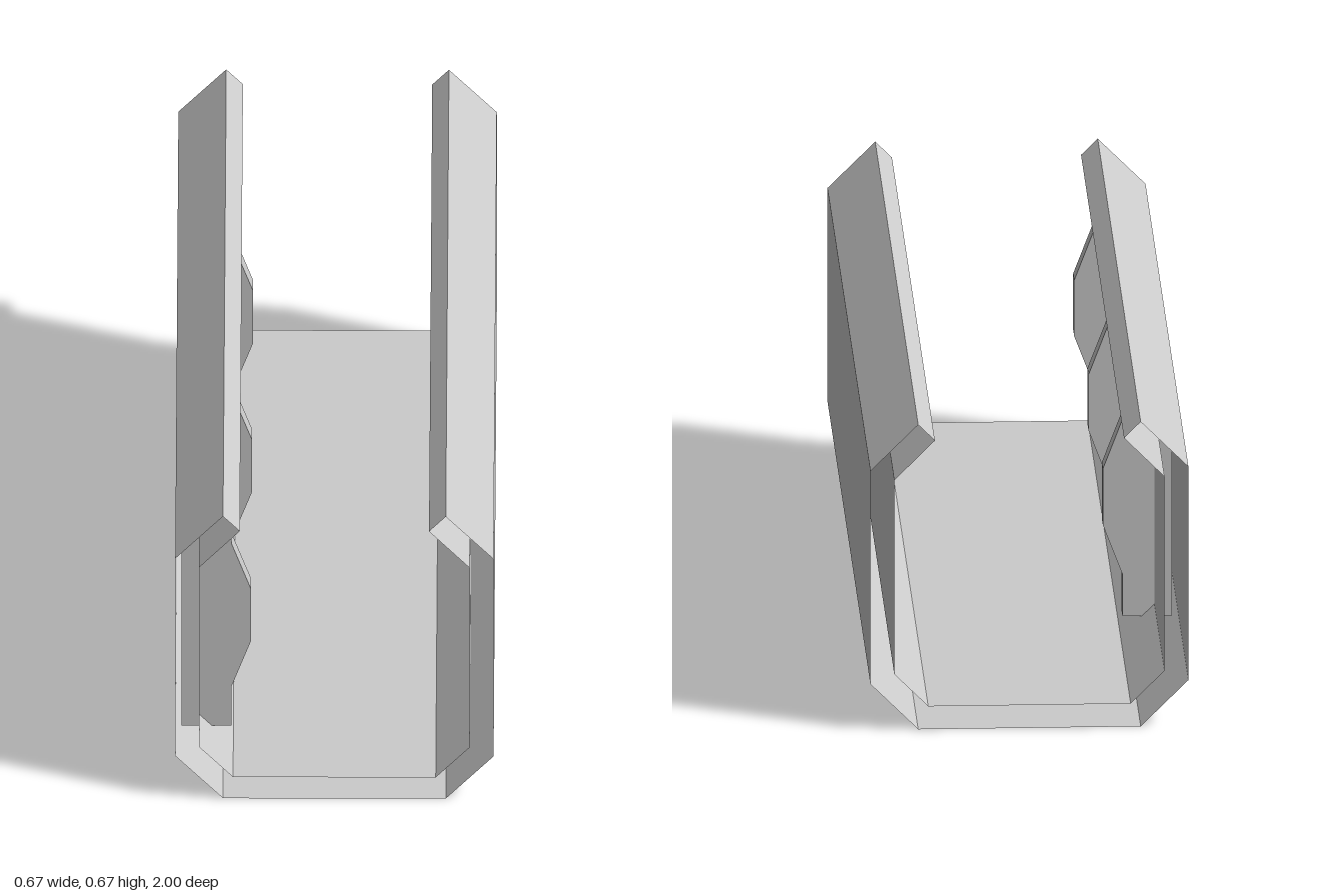
import * as THREE from 'three';

const material = new THREE.MeshStandardMaterial({
  color: 0xcccccc, flatShading: true, side: THREE.DoubleSide,
});

// Right half of the channel section, from the floor up to the lip tip
const outerHalf = [[0.233, 0], [0.333, 0.1], [0.333, 0.567], [0.233, 0.667]];
const innerHalf = [[0.212, 0.05], [0.283, 0.121], [0.283, 0.546], [0.198, 0.632]];
const mirror = (pts) => pts.map(([x, y]) => [-x, y]);

// Sweeps a closed section along z as a hollow skin with open ends
function openSweep(section, halfLength) {
  const pos = [];
  section.forEach(([ax, ay], i) => {
    const [bx, by] = section[(i + 1) % section.length];
    const h = halfLength;
    pos.push(ax, ay, h, ax, ay, -h, bx, by, -h);
    pos.push(ax, ay, h, bx, by, -h, bx, by, h);
  });
  const geometry = new THREE.BufferGeometry();
  geometry.setAttribute('position', new THREE.Float32BufferAttribute(pos, 3));
  geometry.computeVertexNormals();
  return geometry;
}

export function createModel() {
  const group = new THREE.Group();
  group.name = 'cableChannel';

  // Double-skinned channel with chamfered corners and turned-in lips
  const section = [
    ...mirror(outerHalf).reverse(), ...outerHalf,
    ...[...innerHalf].reverse(), ...mirror(innerHalf),
  ];
  const channel = new THREE.Mesh(openSweep(section, 1), material);
  channel.name = 'channel';
  group.add(channel);

  // Ribs set into the right wall, bulging at mid height
  const ribShape = new THREE.Shape([
    [-0.32, 0.095], [-0.216, 0.095], [-0.216, 0.187], [-0.175, 0.295],
    [-0.175, 0.418], [-0.216, 0.526], [-0.216, 0.574], [-0.32, 0.574],
  ].map(([x, y]) => new THREE.Vector2(x, y)));
  const depth = 0.048;
  const ribGeometry = new THREE.ExtrudeGeometry(ribShape, { depth, bevelEnabled: false });
  ribGeometry.translate(0, 0, -depth / 2);
  [-0.503, 0.163, 0.83].forEach((z, i) => {
    const rib = new THREE.Mesh(ribGeometry, material);
    rib.name = `rib${i + 1}`;
    rib.position.z = z;
    group.add(rib);
  });

  return group;
}
